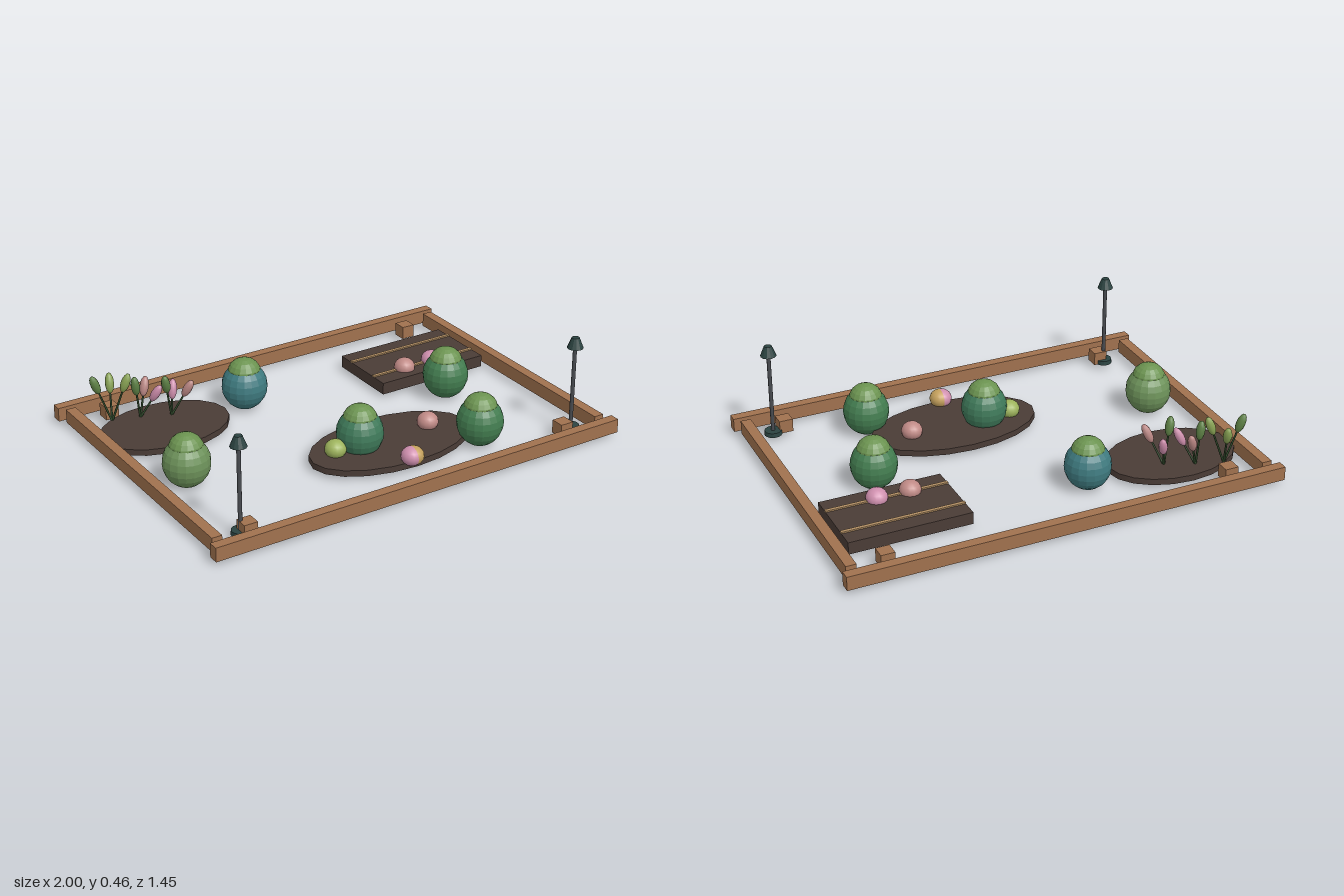
import * as THREE from 'three';

const mat = (color, extra = {}) => new THREE.MeshStandardMaterial({ color, ...extra });
const wood = mat(0xa0714e);
const soil = mat(0x4a3c36);
const strip = mat(0xb08d62);
const metal = mat(0x484b50);
const shade = mat(0x2b4341, { flatShading: true });
const stemMat = mat(0x35502f);
const leafTop = mat(0x6b9350, { flatShading: true });

function add(parent, name, geometry, material, x, y, z) {
  const mesh = new THREE.Mesh(geometry, material);
  mesh.name = name;
  mesh.position.set(x, y, z);
  parent.add(mesh);
  return mesh;
}

function group(parent, name, x, y, z) {
  const g = new THREE.Group();
  g.name = name;
  g.position.set(x, y, z);
  parent.add(g);
  return g;
}

// Rounded shrub with a lighter crown
function addBush(parent, x, z, color) {
  const bush = group(parent, 'bush', x, 0, z);
  add(bush, 'bushBody', new THREE.SphereGeometry(0.103, 18, 12), mat(color, { flatShading: true }), 0, 0.11, 0)
    .scale.y = 1.07;
  add(bush, 'bushCrown', new THREE.SphereGeometry(0.075, 16, 10), leafTop, 0, 0.175, 0).scale.y = 0.88;
}

// Garden lamp: foot, pole and tapered shade
function addLamp(parent, x, z) {
  const lamp = group(parent, 'lamp', x, 0, z);
  add(lamp, 'lampFoot', new THREE.CylinderGeometry(0.038, 0.04, 0.02, 16), shade, 0, 0.028, 0);
  add(lamp, 'lampPole', new THREE.CylinderGeometry(0.009, 0.009, 0.385, 10), metal, 0, 0.215, 0);
  add(lamp, 'lampShade', new THREE.CylinderGeometry(0.017, 0.036, 0.047, 12), shade, 0, 0.432, 0);
}

// Stem from a root to a slender bud pointing along it
function addFlower(parent, root, center, color) {
  const a = new THREE.Vector3(...root);
  const b = new THREE.Vector3(...center);
  const dir = b.clone().sub(a);
  const length = dir.length();
  const turn = new THREE.Quaternion().setFromUnitVectors(new THREE.Vector3(0, 1, 0), dir.normalize());
  const mid = a.clone().add(b).multiplyScalar(0.5);
  add(parent, 'flowerStem', new THREE.CylinderGeometry(0.004, 0.005, length, 6), stemMat, mid.x, mid.y, mid.z)
    .quaternion.copy(turn);
  const bud = add(parent, 'flowerBud', new THREE.SphereGeometry(1, 10, 8), mat(color), b.x, b.y, b.z);
  bud.scale.set(0.02, 0.046, 0.02);
  bud.quaternion.copy(turn);
}

export function createModel() {
  const garden = new THREE.Group();
  garden.name = 'gardenPlot';

  // Timber border and corner blocks
  for (const s of [-1, 1]) {
    add(garden, s > 0 ? 'frontBeam' : 'backBeam', new THREE.BoxGeometry(2, 0.063, 0.046), wood, 0, 0.049, s * 0.7);
    add(garden, s > 0 ? 'leftBeam' : 'rightBeam', new THREE.BoxGeometry(0.046, 0.063, 1.3), wood, s * 0.953, 0.049, 0);
    for (const t of [-1, 1])
      add(garden, 'cornerBlock', new THREE.BoxGeometry(0.062, 0.06, 0.062), wood, s * 0.79, 0.049, t * 0.603);
  }

  // Oval soil beds
  for (const [x, z, rx, rz] of [[-0.645, -0.355, 0.3, 0.207], [0.097, 0.292, 0.387, 0.216]])
    add(garden, 'ovalBed', new THREE.CylinderGeometry(1, 1, 0.028, 20), soil, x, 0.031, z).scale.set(rx, 1, rz);

  // Raised planting box with two strips
  const box = group(garden, 'plantingBox', 0.625, 0, -0.306);
  add(box, 'boxSoil', new THREE.BoxGeometry(0.55, 0.055, 0.345), soil, 0, 0.043, 0);
  for (const s of [-1, 1])
    add(box, 'boxStrip', new THREE.BoxGeometry(0.55, 0.008, 0.016), strip, 0, 0.073, s * 0.09);

  // Shrubs
  for (const [x, z, color] of [
    [-0.785, 0.1, 0x6d925a], [-0.223, -0.39, 0x3f7b80], [0.597, 0, 0x437d50],
    [0.452, 0.457, 0x437d50], [-0.04, 0.267, 0x3f7a5a],
  ]) addBush(garden, x, z, color);

  // Round blossoms
  for (const [x, y, z, color] of [
    [0.52, 0.08, -0.213, 0xc08a86], [0.67, 0.08, -0.213, 0xcf8fae],
    [-0.165, 0.068, 0.27, 0x9db35c], [0.31, 0.068, 0.27, 0xc08a86],
    [0.071, 0.068, 0.495, 0xcf8fae], [0.077, 0.068, 0.495, 0xc4a05c],
  ]) add(garden, 'blossom', new THREE.SphereGeometry(0.048, 16, 10), mat(color), x, y, z).scale.y = 0.88;

  // Tall flowers in three clumps, each a root and its bud centres
  const green = 0x5d8045, lime = 0x88a254, pink = 0xc98aa8, rose = 0xb98683;
  const clumps = [
    [[-0.82, 0.04, -0.515], [[-0.885, 0.225, -0.53, green], [-0.8, 0.2, -0.565, lime], [-0.76, 0.22, -0.49, lime]]],
    [[-0.7, 0.04, -0.48], [[-0.66, 0.17, -0.51, rose], [-0.645, 0.165, -0.43, pink], [-0.72, 0.2, -0.475, green]]],
    [[-0.575, 0.04, -0.425], [[-0.61, 0.21, -0.4, green], [-0.55, 0.15, -0.455, pink], [-0.52, 0.18, -0.37, rose]]],
  ];
  const flowers = group(garden, 'tallFlowers', 0, 0, 0);
  for (const [root, buds] of clumps)
    for (const [x, y, z, color] of buds) addFlower(flowers, root, [x, y, z], color);

  // Lamps at the front corners
  addLamp(garden, -0.813, 0.587);
  addLamp(garden, 0.848, 0.587);

  return garden;
}
